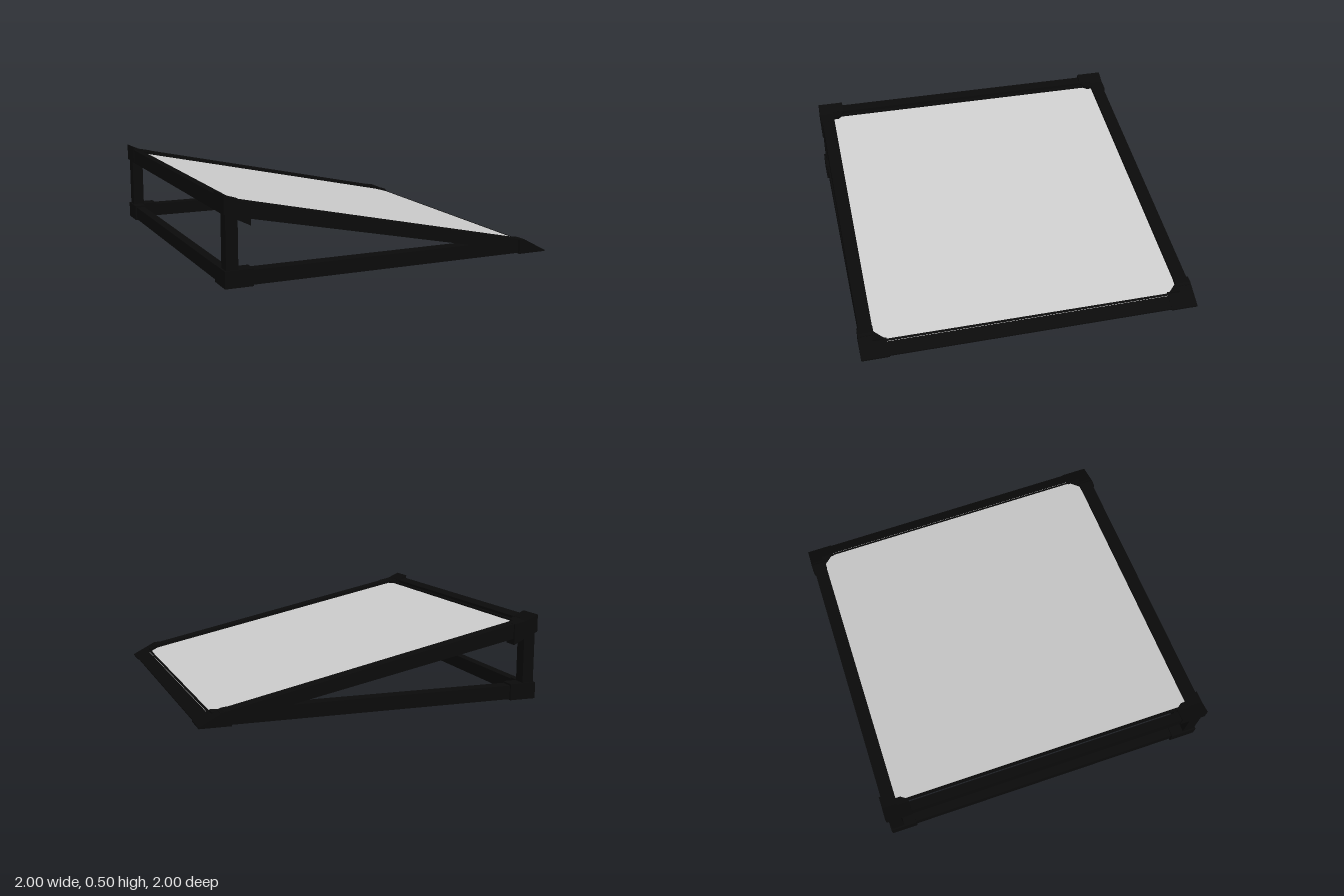
import * as THREE from 'three';

const black = new THREE.MeshStandardMaterial({ color: 0x0a0a0a, flatShading: true });
const grey = new THREE.MeshStandardMaterial({ color: 0xcccccc, flatShading: true, side: THREE.DoubleSide });

// height of the sloping top face
const slope = (x) => 0.267 - 0.215 * x;

export function createModel() {
  const model = new THREE.Group();

  const add = (name, geometry, material = black) => {
    const mesh = new THREE.Mesh(geometry, material);
    mesh.name = name;
    model.add(mesh);
  };
  const shapeOf = (points) => new THREE.Shape(points.map(([x, y]) => new THREE.Vector2(x, y)));

  // side profile (x, y) extruded across z
  const profile = (name, points, z0, z1) => {
    const g = new THREE.ExtrudeGeometry(shapeOf(points), { depth: z1 - z0, bevelEnabled: false });
    add(name, g.translate(0, 0, z0));
  };
  const profilePair = (name, points, z0, z1) => {
    profile(name + 'Left', points, z0, z1);
    profile(name + 'Right', points, -z1, -z0);
  };

  // plan outline (x, z) given a thickness, then sheared to follow the slope
  const sloped = (name, points, low, high, material) => {
    const g = new THREE.ExtrudeGeometry(shapeOf(points.map(([x, z]) => [x, -z])), { depth: high - low, bevelEnabled: false });
    g.rotateX(-Math.PI / 2).translate(0, low, 0);
    const p = g.attributes.position;
    for (let i = 0; i < p.count; i++) p.setY(i, Math.max(0.01, p.getY(i) + slope(p.getX(i))));
    g.computeVertexNormals();
    add(name, g, material);
  };
  const rect = (x0, x1, z0, z1) => [[x0, z0], [x1, z0], [x1, z1], [x0, z1]];

  // sloping panel and its edge trim
  sloped('panel', rect(-0.912, 0.92, -0.93, 0.93), -0.03, -0.018, grey);
  sloped('panelTrim', rect(-0.922, -0.908, -0.92, 0.92), -0.035, -0.008);

  // sloping rails and upper rear rail
  for (const s of [1, -1]) {
    sloped('slopingRail', rect(-0.99, 0.88, Math.min(s * 0.91, s * 0.99), Math.max(s * 0.91, s * 0.99)), -0.087, 0);
  }
  sloped('upperRearRail', rect(-0.995, -0.936, -0.95, 0.95), -0.087, 0);

  // base rails, rear posts and the wedge rail at the low edge
  profilePair('baseRail', [[-0.98, 0.01], [0.9, 0.01], [0.86, 0.07], [0.8, 0.09], [-0.98, 0.09]], 0.912, 0.99);
  profile('lowerRearRail', [[-0.99, 0.01], [-0.936, 0.01], [-0.936, 0.09], [-0.99, 0.09]], -0.95, 0.95);
  profilePair('rearPost', [[-0.99, 0.02], [-0.922, 0.02], [-0.922, 0.42], [-0.99, 0.42]], 0.916, 0.99);
  profile('lowEdgeRail', [[0.905, 0.008], [0.995, 0.008], [0.995, 0.014], [0.905, 0.058]], -0.95, 0.95);

  // corner brackets
  profilePair('baseBracket', [[-1, 0.005], [-0.84, 0.005], [-0.84, 0.1], [-1, 0.1]], 0.91, 1);
  profilePair('topBracket', [[-1, 0.4], [-0.922, 0.365], [-0.852, 0.33], [-0.852, 0.451], [-0.925, 0.466], [-1, 0.5]], 0.912, 1);
  profilePair('tipBracket', [[0.82, 0.005], [1, 0.005], [1, 0.012], [0.86, 0.086], [0.82, 0.091]], 0.908, 1);

  // bracket arms running along the cross rails
  profilePair('topBracketArm', [[-1, 0.4], [-0.936, 0.385], [-0.936, 0.47], [-1, 0.5]], 0.84, 0.92);
  profilePair('baseBracketArm', [[-1, 0.005], [-0.93, 0.005], [-0.93, 0.1], [-1, 0.1]], 0.84, 0.92);
  profilePair('tipBracketArm', [[0.9, 0.005], [1, 0.005], [1, 0.012], [0.9, 0.064]], 0.84, 0.92);

  // chamfered gussets over the panel corners
  for (const s of [1, -1]) {
    const order = (pts) => pts.map(([x, z]) => [x, s * z]);
    sloped('topGusset', order([[-0.94, 0.92], [-0.89, 0.92], [-0.89, 0.88], [-0.905, 0.86], [-0.94, 0.835]]), -0.06, 0);
    sloped('tipGusset', order([[0.91, 0.92], [0.84, 0.92], [0.905, 0.855], [0.91, 0.855]]), -0.05, -0.004);
  }
  return model;
}
